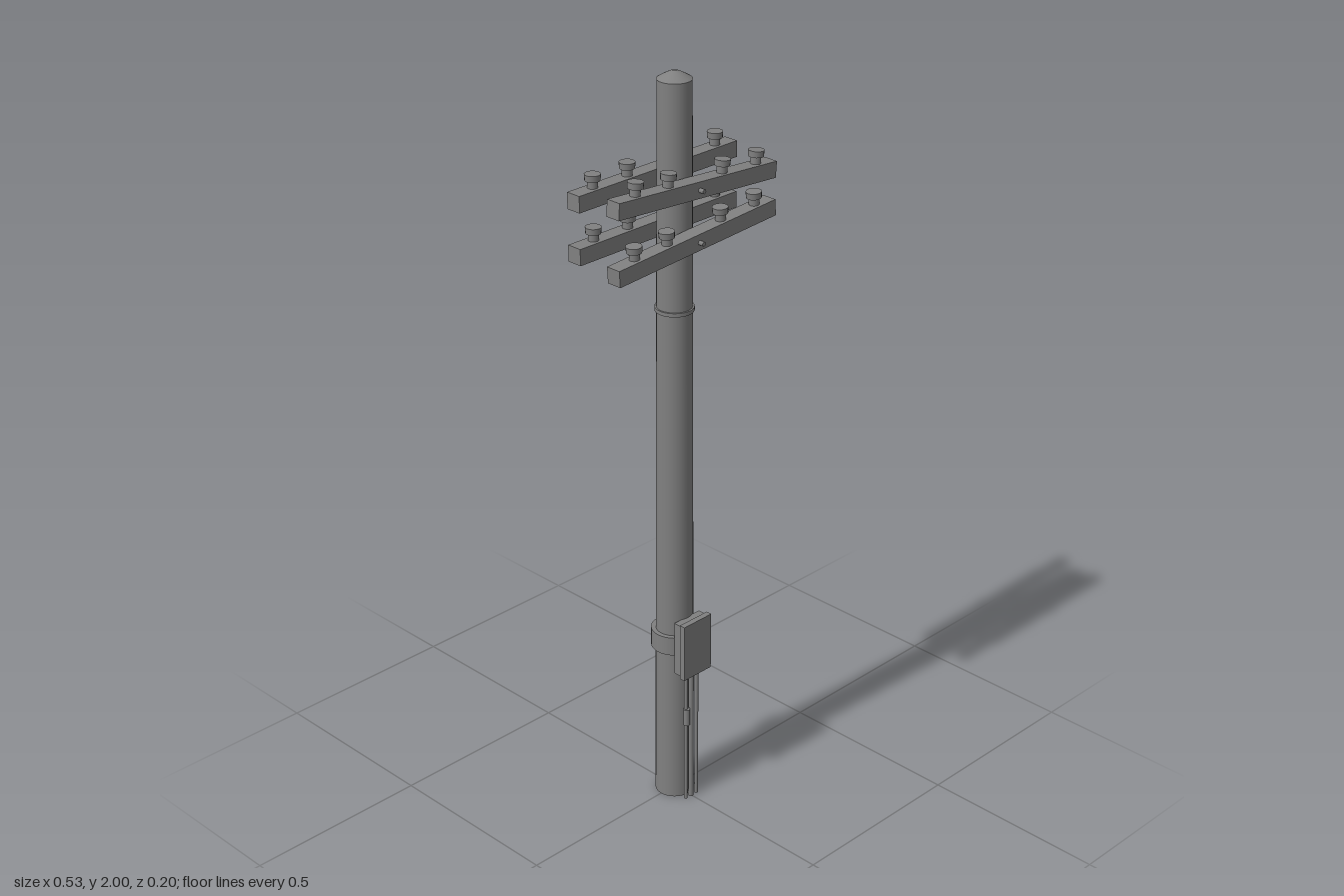
import * as THREE from 'three';

const material = new THREE.MeshStandardMaterial({ color: 0x808080 });

function add(parent, name, geometry, x = 0, y = 0, z = 0) {
  const mesh = new THREE.Mesh(geometry, material);
  mesh.name = name;
  mesh.position.set(x, y, z);
  parent.add(mesh);
  return mesh;
}

const cyl = (rTop, rBottom, h, sides = 16) => new THREE.CylinderGeometry(rTop, rBottom, h, sides);

// Crossarm with four flat-headed insulators standing on it
function crossarm(name, y, z, tilt, spots) {
  const arm = new THREE.Group();
  arm.name = name;
  arm.position.set(0, y, z);
  arm.rotation.z = tilt;
  add(arm, 'beam', new THREE.BoxGeometry(0.528, 0.042, 0.041));
  for (const x of spots) {
    add(arm, 'insulatorStem', cyl(0.013, 0.013, 0.02), x, 0.03, 0);
    add(arm, 'insulatorHead', cyl(0.02, 0.019, 0.016), x, 0.047, 0);
  }
  return arm;
}

export function createModel() {
  const model = new THREE.Group();
  model.name = 'utilityPole';

  // Tapered pole with a low, softly rounded top
  add(model, 'pole', cyl(0.042, 0.051, 1.98, 32), 0, 0.99, 0);
  const capProfile = [[0.043, 0], [0.03, 0.008], [0.015, 0.016], [0, 0.02]];
  const cap = new THREE.LatheGeometry(capProfile.map(([r, y]) => new THREE.Vector2(r, y)), 32);
  add(model, 'poleCap', cap, 0, 1.98, 0);
  add(model, 'poleRing', cyl(0.049, 0.049, 0.01, 32), 0, 1.4, 0);

  // Two levels of paired crossarms, the front ones sagging slightly
  const levels = [
    { y: 1.726, tilt: -0.07 },
    { y: 1.594, tilt: 0.06 },
  ];
  for (const { y, tilt } of levels) {
    model.add(crossarm('frontCrossarm', y, 0.064, tilt, [-0.195, -0.088, 0.093, 0.21]));
    model.add(crossarm('backCrossarm', y, -0.068, 0, [-0.202, -0.09, 0.095, 0.207]));
    add(model, 'throughBolt', cyl(0.006, 0.006, 0.198, 8), 0, y, 0).rotation.x = Math.PI / 2;
  }

  // Strap and service box
  add(model, 'boxStrap', cyl(0.061, 0.061, 0.052, 32), 0, 0.473, 0);
  add(model, 'boxBody', new THREE.BoxGeometry(0.09, 0.15, 0.026), 0, 0.47, 0.057);
  add(model, 'boxDoor', new THREE.BoxGeometry(0.098, 0.16, 0.016), 0, 0.47, 0.076);

  // Conduits running down to the ground, one with a coupling
  for (const [x, r] of [[-0.019, 0.005], [0, 0.007], [0.02, 0.005]]) {
    add(model, 'conduit', cyl(r, r, 0.4, 12), x, 0.2, 0.061);
  }
  add(model, 'conduitCoupling', cyl(0.009, 0.009, 0.048, 12), -0.019, 0.258, 0.064);

  return model;
}
